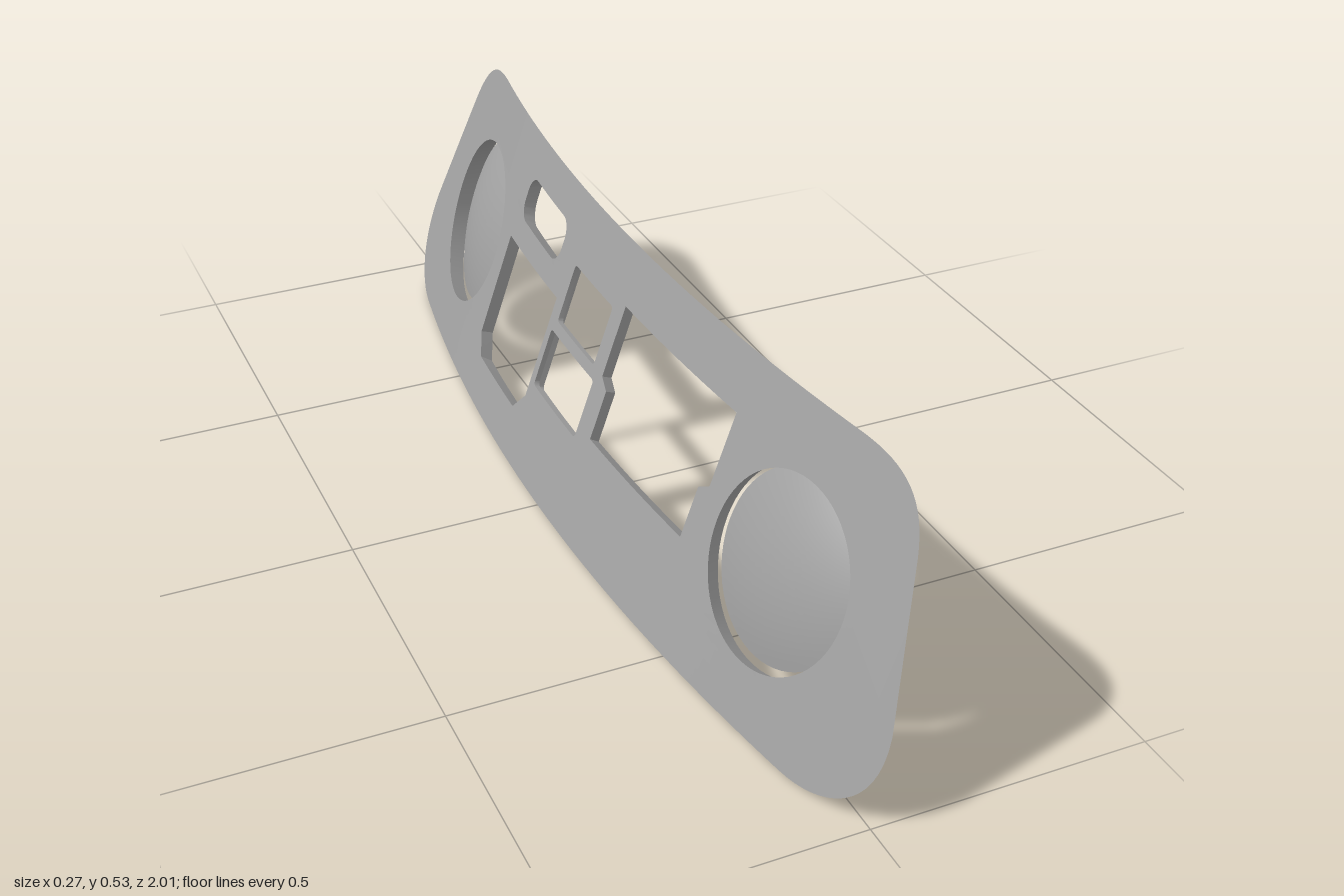
import * as THREE from 'three';
import { toCreasedNormals } from 'three/addons/utils/BufferGeometryUtils.js';

const THICK = 0.025, LEDGE = 0.01, INSET = 0.035;
const V = (x, y) => new THREE.Vector2(x, y);

// Panel coordinates: u across (towards -z), v up, d depth towards +x.
// The panel leans back, is bowed along its length and thickens towards its ends.
function bend(geometry) {
  const p = geometry.attributes.position;
  for (let i = 0; i < p.count; i++) {
    const u = p.getX(i), v = p.getY(i), d = p.getZ(i) * (1 + 0.6 * u * u);
    p.setXYZ(i, -0.14 + 0.34 * v + 0.108 * u * u + 0.93 * d, v - 0.3 * d, -u * (1 - 0.2 * d));
  }
  return toCreasedNormals(geometry, 0.4);
}

const ccw = pts => THREE.ShapeUtils.isClockWise(pts) ? pts.slice().reverse() : pts;

// Flat face with holes at depth d
function addFace(tris, outline, holes, d, faceFront) {
  const hs = holes.map(h => h.slice().reverse());
  const all = [...outline, ...hs.flat()].map(p => new THREE.Vector3(p.x, p.y, d));
  for (const [a, b, c] of THREE.ShapeUtils.triangulateShape(outline, hs))
    tris.push(faceFront ? [all[a], all[b], all[c]] : [all[a], all[c], all[b]]);
}

// Wall between two closed loops
function addWall(tris, low, d0, high, d1, inward) {
  low.forEach((p, i) => {
    const j = (i + 1) % low.length;
    const a = new THREE.Vector3(p.x, p.y, d0), b = new THREE.Vector3(low[j].x, low[j].y, d0);
    const c = new THREE.Vector3(high[j].x, high[j].y, d1), e = new THREE.Vector3(high[i].x, high[i].y, d1);
    tris.push(...(inward ? [[a, c, b], [a, e, c]] : [[a, b, c], [a, c, e]]));
  });
}

// Cut triangles along u = c so that they can follow the bow
function cutAt(tris, c) {
  const out = [];
  for (const t of tris) {
    const s = t.map(p => p.x - c);
    if (s.every(v => v >= -1e-6) || s.every(v => v <= 1e-6)) { out.push(t); continue; }
    for (const side of [1, -1]) {
      const poly = [];
      for (let i = 0; i < 3; i++) {
        const j = (i + 1) % 3;
        if (s[i] * side >= 0) poly.push(t[i]);
        if (s[i] * s[j] < 0) poly.push(t[i].clone().lerp(t[j], s[i] / (s[i] - s[j])));
      }
      for (let i = 1; i + 1 < poly.length; i++) out.push([poly[0], poly[i], poly[i + 1]]);
    }
  }
  return out;
}

// Mitred offset of a loop: positive shrinks, negative grows
function insetLoop(pts, amount) {
  const n = pts.length;
  const normal = i => {
    const e = pts[(i + 1) % n].clone().sub(pts[i % n]).normalize();
    return V(-e.y, e.x);
  };
  return pts.map((p, i) => {
    const a = normal(i + n - 1), b = normal(i);
    return p.clone().addScaledVector(a.clone().add(b), amount / (1 + a.dot(b)));
  });
}

function cleanLoop(pts) {
  return ccw(pts.filter((p, i) => p.distanceTo(pts[(i + 1) % pts.length]) > 1e-5));
}

function roundedRect(u0, u1, v0, v1, r) {
  const s = new THREE.Shape();
  s.absarc(u1 - r, v0 + r, r, -Math.PI / 2, 0);
  s.absarc(u1 - r, v1 - r, r, 0, Math.PI / 2);
  s.absarc(u0 + r, v1 - r, r, Math.PI / 2, Math.PI);
  s.absarc(u0 + r, v0 + r, r, Math.PI, Math.PI * 1.5);
  return cleanLoop(s.getPoints(6));
}

function panelOutline() {
  const s = new THREE.Shape();
  s.moveTo(-0.83, 0);
  s.lineTo(0.83, 0);
  s.bezierCurveTo(0.93, 0, 1.025, 0.05, 0.998, 0.17);
  s.lineTo(0.918, 0.42);
  s.bezierCurveTo(0.89, 0.5, 0.84, 0.528, 0.74, 0.53);
  s.lineTo(-0.74, 0.53);
  s.bezierCurveTo(-0.84, 0.528, -0.89, 0.5, -0.918, 0.42);
  s.lineTo(-0.998, 0.17);
  s.bezierCurveTo(-1.025, 0.05, -0.93, 0, -0.83, 0);
  return cleanLoop(s.getPoints(16));
}

const DISC_U = 0.672, DISC_V = 0.258;

function panelGeometry() {
  const outline = panelOutline(), front = insetLoop(outline, INSET);

  // Openings that widen towards the bevelled side
  const holes = [-1, 1].map(s => cleanLoop(
    new THREE.EllipseCurve(s * DISC_U, DISC_V, 0.164, 0.159, 0, Math.PI * 2).getPoints(64)));
  holes.push(roundedRect(0.218, 0.44, 0.374, 0.456, 0.032));
  holes.push(ccw([V(-0.463, 0.426), V(-0.463, 0.295), V(-0.437, 0.28), V(-0.437, 0.188),
    V(-0.1, 0.188), V(-0.1, 0.28), V(-0.072, 0.295), V(-0.072, 0.428)]));
  holes.push(ccw([V(0.175, 0.328), V(0.175, 0.13), V(0.213, 0.088), V(0.422, 0.084),
    V(0.458, 0.12), V(0.458, 0.323)]));
  const wide = holes.map((h, i) => insetLoop(h, i < 2 ? -0.01 : -0.008));

  // Shared recess with two small windows behind it
  const recess = roundedRect(-0.056, 0.162, 0.153, 0.418, 0.008);
  const windows = [roundedRect(-0.032, 0.143, 0.297, 0.408, 0.008),
    roundedRect(-0.048, 0.156, 0.163, 0.275, 0.008)];

  let tris = [];
  addFace(tris, outline, [...holes, ...windows], 0, false);
  addFace(tris, front, [...wide, recess], THICK, true);
  addFace(tris, recess, windows, LEDGE, true);
  addWall(tris, outline, 0, front, THICK, false);
  holes.forEach((h, i) => addWall(tris, h, 0, wide[i], THICK, true));
  windows.forEach(w => addWall(tris, w, 0, w, LEDGE, true));
  addWall(tris, recess, LEDGE, recess, THICK, true);

  for (let k = -19; k < 20; k++) tris = cutAt(tris, k * 0.05);
  const g = new THREE.BufferGeometry().setFromPoints(tris.flat());
  return bend(g);
}

// Shallow dish, rim towards the bevelled side
function dishGeometry(side) {
  const profile = [];
  for (let i = 0; i <= 10; i++) {
    const t = i / 10;
    profile.push(V(0.163 * t, 0.002 + 0.02 * t * t));
  }
  const g = new THREE.LatheGeometry(profile, 64);
  g.rotateX(Math.PI / 2);
  g.scale(1, 0.158 / 0.163, 1);
  g.translate(side * DISC_U, DISC_V + 0.005, 0);
  return bend(g);
}

export function createModel() {
  const grey = new THREE.MeshStandardMaterial({ color: 0xa0a0a0, side: THREE.DoubleSide });
  grey.name = 'grey';
  const group = new THREE.Group();
  group.name = 'curvedPanel';
  const add = (geometry, name) => {
    const mesh = new THREE.Mesh(geometry, grey);
    mesh.name = name;
    group.add(mesh);
  };
  add(panelGeometry(), 'panel');
  add(dishGeometry(-1), 'rearDish');
  add(dishGeometry(1), 'frontDish');
  return group;
}
